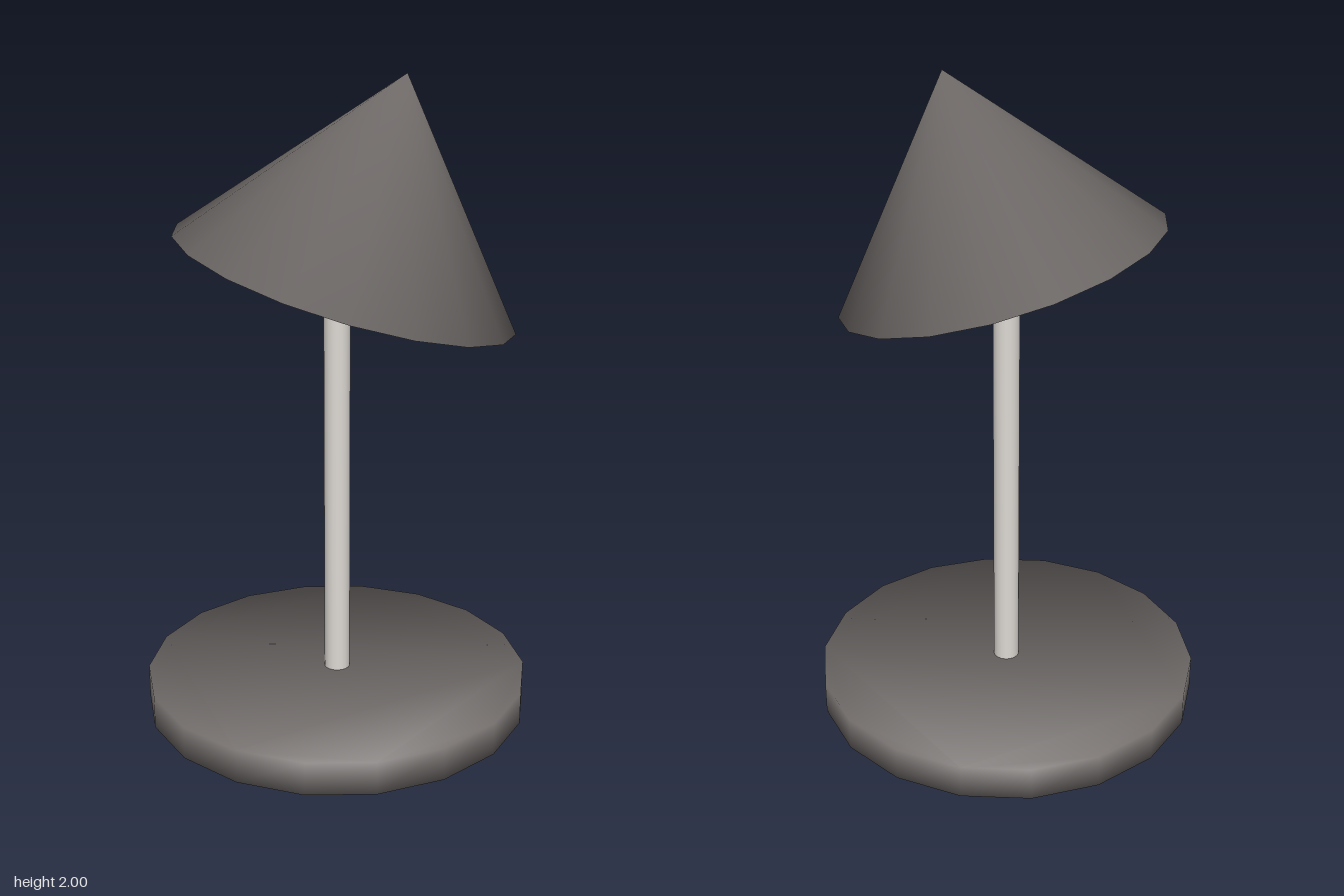
import * as THREE from 'three';
import { mergeGeometries } from 'three/addons/utils/BufferGeometryUtils.js';

const SIDES = 18;

// Flat polygon cap at height y, facing up (1) or down (-1)
function cap(radius, y, dir, turn) {
  const points = [];
  for (let i = 0; i < SIDES; i++) {
    const a = turn + (i / SIDES) * Math.PI * 2;
    points.push(new THREE.Vector2(radius * Math.sin(a), -dir * radius * Math.cos(a)));
  }
  return new THREE.ShapeGeometry(new THREE.Shape(points))
    .rotateX(-dir * Math.PI / 2)
    .translate(0, y, 0);
}

// Closed disc or cone whose normals blend smoothly round the rims;
// rise is how far the rim normals lean out of the horizontal
function softSolid(topRadius, bottomRadius, height, turn, rise) {
  const parts = [
    new THREE.CylinderGeometry(topRadius, bottomRadius, height, SIDES, 1, true, turn),
    cap(bottomRadius, -height / 2, -1, turn),
  ];
  if (topRadius > 0) parts.push(cap(topRadius, height / 2, 1, turn));
  const geometry = mergeGeometries(parts);
  const { position, normal } = geometry.attributes;
  const n = new THREE.Vector3();
  for (let i = 0; i < position.count; i++) {
    const x = position.getX(i), y = position.getY(i), z = position.getZ(i);
    const r = Math.hypot(x, z);
    if (r < 0.001) n.set(0, 1, 0);
    else n.set(x / r, rise * Math.sign(y), z / r).normalize();
    normal.setXYZ(i, n.x, n.y, n.z);
  }
  return geometry;
}

export function createModel() {
  const model = new THREE.Group();
  model.name = 'tableLamp';
  const darkGrey = new THREE.MeshStandardMaterial({ color: 0x76716f });
  darkGrey.name = 'dark grey';
  const paleGrey = new THREE.MeshStandardMaterial({ color: 0xdedad5 });
  paleGrey.name = 'pale grey';

  const add = (name, geometry, material) => {
    const mesh = new THREE.Mesh(geometry, material);
    mesh.name = name;
    model.add(mesh);
    return mesh;
  };

  // Round foot
  add('base', softSolid(0.61, 0.61, 0.105, Math.PI / SIDES, 0.75), darkGrey)
    .position.set(0, 0.0525, -0.013);

  // Upright, ending inside the shade
  add('pole', new THREE.CylinderGeometry(0.041, 0.041, 1.45, SIDES), paleGrey)
    .position.set(0, 0.775, -0.01);

  // Tilted conical shade, placed between its rim centre and its tip
  const rimCentre = new THREE.Vector3(-0.065, 1.415, 0.1);
  const tip = new THREE.Vector3(0.06, 2, 0.22);
  const axis = tip.clone().sub(rimCentre);
  const shade = add('shade', softSolid(0, 0.52, axis.length(), 0, -0.05), darkGrey);
  shade.position.copy(rimCentre).lerp(tip, 0.5);
  shade.quaternion.setFromUnitVectors(new THREE.Vector3(0, 1, 0), axis.normalize());

  return model;
}
